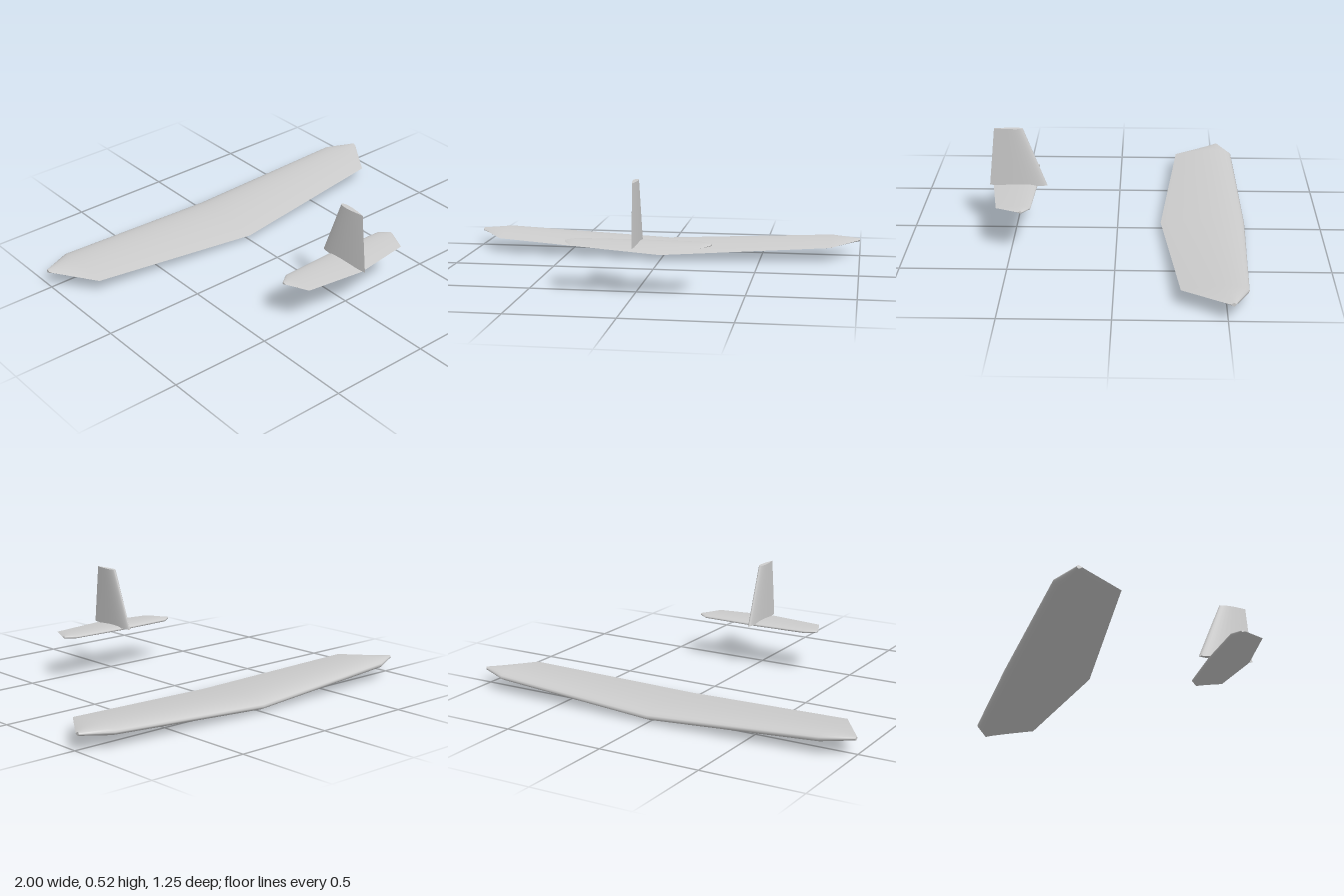
import * as THREE from 'three';

const N = 14; // points per airfoil side

// Closed symmetric airfoil: trailing edge, over the top, leading edge, back underneath.
// t is a fraction of the chord from the leading edge, h is -0.5..0.5 of the thickness.
function airfoil() {
  const half = t => 5 * (0.2969 * Math.sqrt(t) - 0.126 * t - 0.3516 * t * t + 0.2843 * t ** 3 - 0.1036 * t ** 4);
  const pts = [];
  for (let i = 0; i <= 2 * N; i++) {
    const t = (1 + Math.cos((Math.PI * i) / N)) / 2;
    pts.push([t, half(t) * (i <= N ? 1 : -1)]);
  }
  return pts;
}

// Loft through sections [span, height, leadZ, trailZ, thickness], running along +x
function loft(sections) {
  const foil = airfoil(), row = foil.length;
  const pos = [], idx = [];
  const addRing = ([s, y, lead, trail, thick]) => {
    const start = pos.length / 3;
    for (const [t, h] of foil) pos.push(s, y + h * thick, lead + t * (trail - lead));
    return start;
  };
  sections.forEach(addRing);
  for (let k = 0; k < sections.length - 1; k++) {
    for (let i = 0; i < row - 1; i++) {
      const a = k * row + i, b = a + row;
      idx.push(a, b, b + 1, a, b + 1, a + 1);
    }
  }
  // Flat end caps on their own vertices keep the rims sharp
  const first = addRing(sections[0]);
  const last = addRing(sections[sections.length - 1]);
  for (let i = 1; i < row - 2; i++) {
    idx.push(first, first + i, first + i + 1);
    idx.push(last, last + i + 1, last + i);
  }
  const geo = new THREE.BufferGeometry();
  geo.setAttribute('position', new THREE.Float32BufferAttribute(pos, 3));
  geo.setIndex(idx);
  geo.computeVertexNormals();
  return geo;
}

// Centre-to-tip sections mirrored to the other side
const mirrored = half => [...half.slice(1).reverse().map(([s, ...rest]) => [-s, ...rest]), ...half];

export function createModel() {
  const grey = new THREE.MeshStandardMaterial({ color: 0xcccccc });
  grey.name = 'light grey';
  const group = new THREE.Group();
  group.name = 'glider';
  const add = (name, geo) => {
    const mesh = new THREE.Mesh(geo, grey);
    mesh.name = name;
    group.add(mesh);
  };

  // Main wing with dihedral and clipped tips
  add('mainWing', loft(mirrored([
    [0, 0.029, -0.625, -0.213, 0.057],
    [0.855, 0.075, -0.598, -0.298, 0.05],
    [1, 0.08, -0.53, -0.508, 0.016],
  ])));

  // Horizontal tailplane
  add('tailplane', loft(mirrored([
    [0, 0.219, 0.393, 0.607, 0.025],
    [0.29, 0.219, 0.403, 0.567, 0.023],
    [0.34, 0.219, 0.44, 0.458, 0.01],
  ])));

  // Upright tail fin: lofted sideways, then turned so its span points up
  add('tailFin', loft([
    [0.223, 0, 0.343, 0.625, 0.027],
    [0.516, 0, 0.457, 0.597, 0.025],
  ]).rotateZ(Math.PI / 2));

  return group;
}
